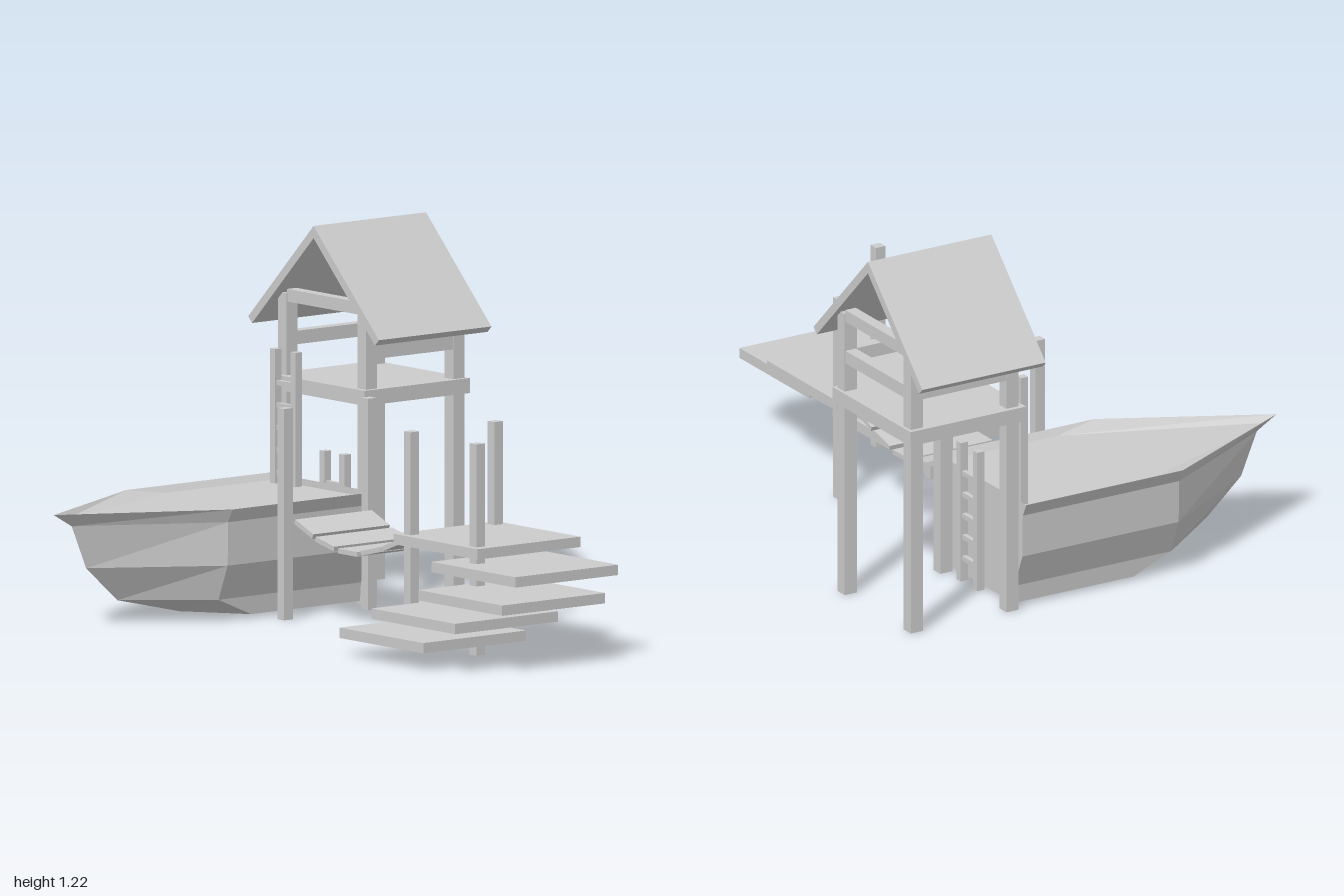
import * as THREE from 'three';

const material = new THREE.MeshStandardMaterial({ color: 0xcccccc, flatShading: true });

function add(parent, name, geometry) {
  const mesh = new THREE.Mesh(geometry, material);
  mesh.name = name;
  parent.add(mesh);
  return mesh;
}

// Box given by its extents along each axis
function box(parent, name, [x0, x1], [y0, y1], [z0, z1]) {
  const mesh = add(parent, name, new THREE.BoxGeometry(x1 - x0, y1 - y0, z1 - z0));
  mesh.position.set((x0 + x1) / 2, (y0 + y1) / 2, (z0 + z1) / 2);
  return mesh;
}

const around = (c, size) => [c - size / 2, c + size / 2];

function group(parent, name) {
  const g = new THREE.Group();
  g.name = name;
  parent.add(g);
  return g;
}

// Hull: five-sided rings from the keel up to the rim, then in to the deck
function hullGeometry() {
  const cx = -0.665, stern = -0.345;
  // y, half width, z of the shoulder, z of the bow
  const levels = [
    [0.012, 0.195, 0.11, 0.25],
    [0.073, 0.2, 0.25, 0.51],
    [0.19, 0.247, 0.25, 0.64],
    [0.333, 0.25, 0.25, 0.7],
    [0.377, 0.272, 0.25, 0.775],
    [0.355, 0.255, 0.1, 0.735],
  ];
  const rings = levels.map(([y, w, shoulder, bow]) => [
    [cx - w, y, stern], [cx - w, y, shoulder], [cx, y, bow],
    [cx + w, y, shoulder], [cx + w, y, stern],
  ]);
  const pos = [];
  const tri = (a, b, c) => pos.push(...a, ...b, ...c);
  for (let k = 0; k < rings.length - 1; k++) {
    for (let i = 0; i < 5; i++) {
      const j = (i + 1) % 5, a = rings[k], b = rings[k + 1];
      tri(a[i], a[j], b[j]);
      tri(a[i], b[j], b[i]);
    }
  }
  const bottom = rings[0], deck = rings[rings.length - 1];
  for (let i = 1; i < 4; i++) {
    tri(bottom[0], bottom[i + 1], bottom[i]);
    tri(deck[0], deck[i], deck[i + 1]);
  }
  const g = new THREE.BufferGeometry();
  g.setAttribute('position', new THREE.Float32BufferAttribute(pos, 3));
  g.computeVertexNormals();
  return g;
}

// Ladder with two rails and evenly spaced rungs
function ladder(parent, name, xs, z, y0, y1, firstRung, lastRung, count) {
  const g = group(parent, name);
  for (const x of xs) box(g, 'ladderRail', around(x, 0.027), [y0, y1], around(z, 0.027));
  for (let i = 0; i < count; i++) {
    const y = firstRung + (lastRung - firstRung) * i / (count - 1);
    box(g, 'rung', xs, around(y, 0.016), around(z, 0.016));
  }
}

export function createModel() {
  const model = new THREE.Group();
  model.name = 'playground';

  add(model, 'boatHull', hullGeometry());

  // Tower: posts, floor, rails and gable roof
  const tower = group(model, 'tower');
  const postX = [-0.87, -0.463], postZ = [-0.37, -0.734];
  for (const x of postX)
    for (const z of postZ)
      box(tower, 'towerPost', around(x, 0.044), [0, 0.975], around(z, 0.046));
  box(tower, 'towerFloor', [-0.908, -0.426], [0.657, 0.706], [-0.768, -0.328]);
  box(tower, 'backRail', [-0.85, -0.483], [0.803, 0.847], around(postZ[1], 0.04));
  for (const x of postX)
    box(tower, 'sideRail', around(x, 0.04), [0.803, 0.847], [-0.712, -0.392]);
  for (const z of postZ)
    box(tower, 'topBeam', [-0.85, -0.483], [0.947, 0.988], around(z, 0.04));

  const roof = new THREE.Shape();
  [[0, 1.22], [-0.335, 0.885], [-0.315, 0.865], [0, 1.18], [0.315, 0.865], [0.335, 0.885]]
    .forEach(([x, y], i) => (i ? roof.lineTo(x, y) : roof.moveTo(x, y)));
  roof.closePath();
  const roofMesh = add(tower, 'gableRoof',
    new THREE.ExtrudeGeometry(roof, { depth: 0.47, bevelEnabled: false }));
  roofMesh.position.set(-0.665, 0, -0.78);

  // One ladder from the deck to the tower, one from the ground to the deck
  ladder(model, 'towerLadder', [-0.866, -0.761], -0.316, 0.355, 0.795, 0.39, 0.685, 5);
  ladder(model, 'sternLadder', [-0.667, -0.565], -0.36, 0, 0.48, 0.08, 0.375, 5);

  // Free-standing posts beside the bridge and the landing
  for (const [x, z] of [[-0.375, -0.305], [-0.375, 0.045], [0.273, -0.305], [0.273, 0.045], [0.61, 0.045]])
    box(model, 'standingPost', around(x, 0.034), [0, 0.692], around(z, 0.036));

  // Hanging bridge: tilted planks along a sagging line (x0, y0, x1, y1)
  const bridge = group(model, 'bridge');
  const planks = [
    [-0.345, 0.322, -0.252, 0.284], [-0.239, 0.277, -0.143, 0.256], [-0.123, 0.252, -0.025, 0.252],
    [-0.005, 0.258, 0.09, 0.281], [0.108, 0.287, 0.202, 0.323],
  ];
  for (const [x0, y0, x1, y1] of planks) {
    const plank = add(bridge, 'bridgePlank',
      new THREE.BoxGeometry(Math.hypot(x1 - x0, y1 - y0), 0.016, 0.32));
    plank.position.set((x0 + x1) / 2, (y0 + y1) / 2, -0.13);
    plank.rotation.z = Math.atan2(y1 - y0, x1 - x0);
  }

  // Landing and the staggered square steps below it (centre x, y, z)
  const steps = [
    [0.445, 0.338, -0.13], [0.71, 0.283, -0.072], [0.783, 0.21, 0.042],
    [0.677, 0.148, 0.152], [0.56, 0.075, 0.19],
  ];
  steps.forEach(([x, y, z], i) =>
    box(model, i ? 'step' : 'landing', around(x, 0.43), around(y, 0.034), around(z, 0.43)));

  return model;
}
